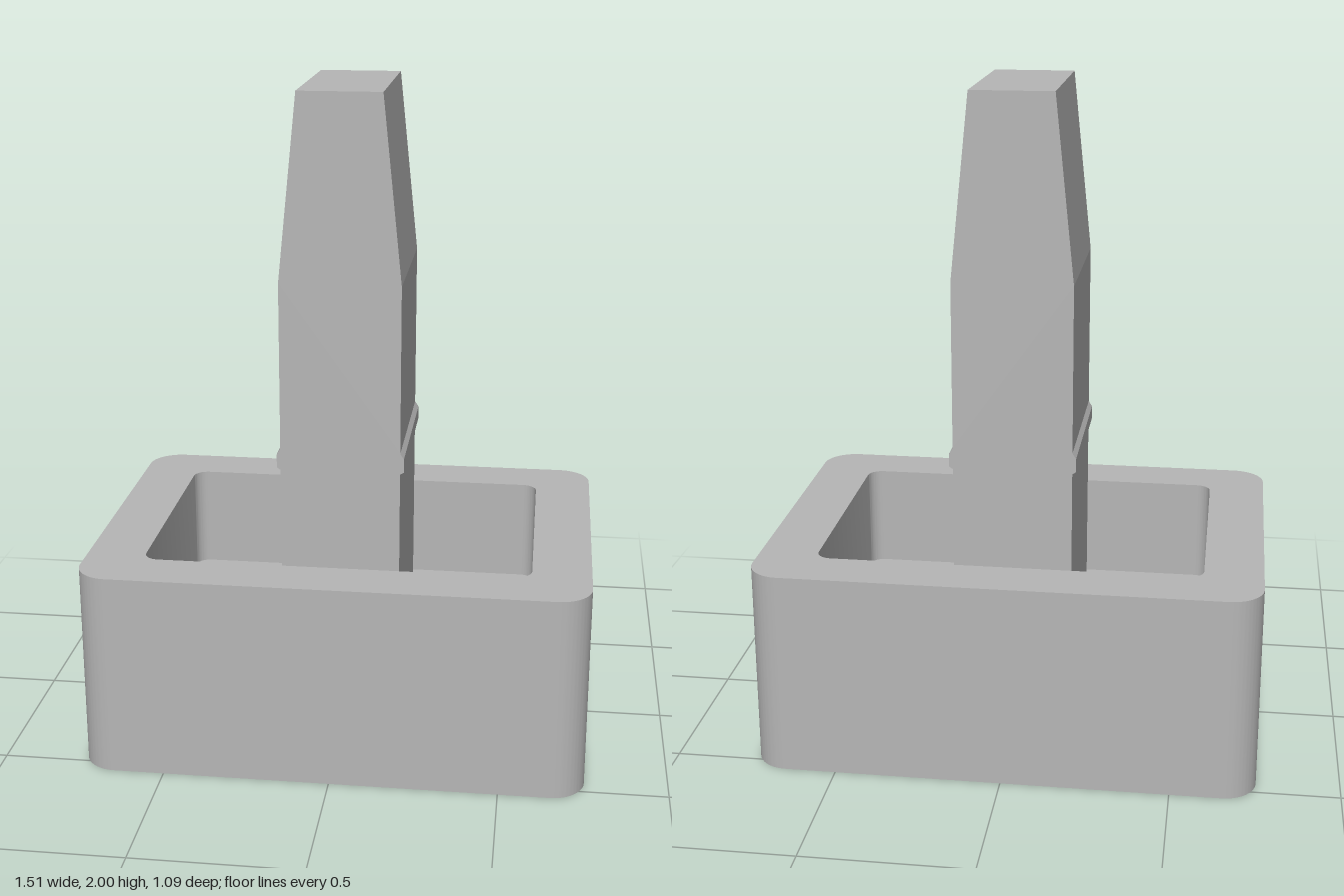
import * as THREE from 'three';
import { toCreasedNormals } from 'three/addons/utils/BufferGeometryUtils.js';

const FLOOR = 0.3, RIM = 0.625;

// Rounded rectangle centred on the origin, as half sizes and corner radius
function roundedRect(Target, w, h, r) {
  const s = new Target();
  s.moveTo(w - r, -h);
  s.absarc(w - r, -h + r, r, -Math.PI / 2, 0, false);
  s.absarc(w - r, h - r, r, 0, Math.PI / 2, false);
  s.absarc(-w + r, h - r, r, Math.PI / 2, Math.PI, false);
  s.absarc(-w + r, -h + r, r, Math.PI, Math.PI * 1.5, false);
  s.closePath();
  return s;
}

export function createModel() {
  const group = new THREE.Group();
  const grey = new THREE.MeshStandardMaterial({ color: 0xb6b6b6 });
  grey.name = 'plain grey';

  const add = (name, geometry) => {
    const mesh = new THREE.Mesh(geometry, grey);
    mesh.name = name;
    group.add(mesh);
  };

  // Thick rounded wall of the base box
  const wall = roundedRect(THREE.Shape, 0.753, 0.547, 0.1);
  wall.holes.push(roundedRect(THREE.Path, 0.578, 0.385, 0.045));
  const wallGeometry = new THREE.ExtrudeGeometry(wall, { depth: RIM, bevelEnabled: false, curveSegments: 12 });
  wallGeometry.rotateX(-Math.PI / 2);
  add('baseWall', toCreasedNormals(wallGeometry, 0.6));

  // Cavity floor and the underside that closes the box
  const inner = roundedRect(THREE.Shape, 0.578, 0.385, 0.045);
  add('cavityFloor', new THREE.ShapeGeometry(inner).rotateX(-Math.PI / 2).translate(0, FLOOR, 0));
  add('baseUnderside', new THREE.ShapeGeometry(inner).rotateX(Math.PI / 2));

  // Upright stem: side profile with snap ridge and tapered top, mirrored
  const side = [
    [0.179, FLOOR], [0.179, 0.88], [0.19, 0.887], [0.19, 0.928],
    [0.179, 0.945], [0.179, 1.45], [0.123, 2],
  ].map(([x, y]) => new THREE.Vector2(x, y));
  const mirrored = side.map((p) => new THREE.Vector2(-p.x, p.y)).reverse();
  const stem = new THREE.ExtrudeGeometry(new THREE.Shape([...side, ...mirrored]), { depth: 0.52, bevelEnabled: false });
  add('stem', stem.translate(0, 0, -0.26));

  return group;
}
